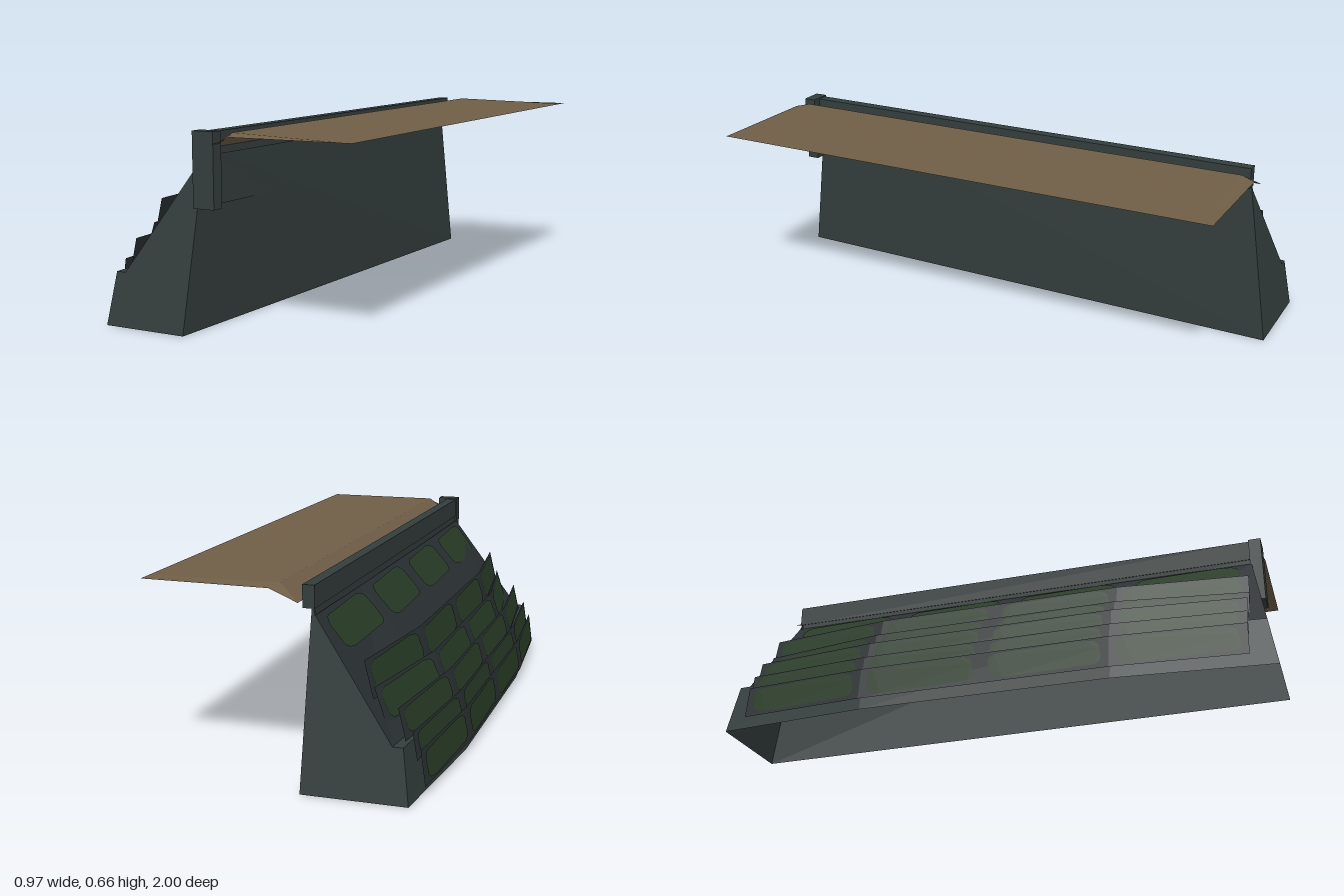
import * as THREE from 'three';

const mat = (name, color) => {
  const m = new THREE.MeshStandardMaterial({ color, side: THREE.DoubleSide });
  m.name = name;
  return m;
};

// flat-faced surface through rows of [x, y, z] points
function loft(rows) {
  const p = [];
  for (let i = 0; i < rows.length - 1; i++) {
    for (let j = 0; j < rows[i].length - 1; j++) {
      const a = rows[i][j], b = rows[i][j + 1], c = rows[i + 1][j + 1], d = rows[i + 1][j];
      p.push(...a, ...b, ...c, ...a, ...c, ...d);
    }
  }
  return fromPoints(p);
}

function fromPoints(p) {
  const g = new THREE.BufferGeometry();
  g.setAttribute('position', new THREE.Float32BufferAttribute(p, 3));
  g.computeVertexNormals();
  return g;
}

// rounded patch in (z, t), wrapped onto a surface by map(z, t) -> [x, y, z]
function patch(z0, z1, t0, t1, map) {
  const w = z1 - z0, rz = w * 0.22, rt = (t1 - t0) * 0.35;
  const s = new THREE.Shape();
  s.moveTo(z0 + rz, t0);
  s.lineTo(z1 - rz * 0.6, t0 + rt * 0.15);
  s.quadraticCurveTo(z1, t0, z1, t0 + rt);
  s.lineTo(z1 - w * 0.02, t1 - rt);
  s.quadraticCurveTo(z1, t1, z1 - rz, t1);
  s.lineTo(z0 + rz * 0.7, t1 - rt * 0.15);
  s.quadraticCurveTo(z0, t1, z0, t1 - rt);
  s.lineTo(z0 + w * 0.02, t0 + rt);
  s.quadraticCurveTo(z0, t0, z0 + rz, t0);
  const g = new THREE.ShapeGeometry(s, 5), pos = g.attributes.position;
  for (let i = 0; i < pos.count; i++) pos.setXYZ(i, ...map(pos.getX(i), pos.getY(i)));
  g.computeVertexNormals();
  return g;
}

export function createModel() {
  const root = new THREE.Group();
  root.name = 'embankmentWall';
  const wall = mat('slate stone', 0x333d3c);
  const bank = mat('dark bank', 0x2a3032);
  const green = mat('moss green', 0x283c26);
  const board = mat('brown board', 0x6f5e47);
  const add = (name, geo, material) => {
    const m = new THREE.Mesh(geo, material);
    m.name = name;
    root.add(m);
    return m;
  };
  const lerp = THREE.MathUtils.lerp;
  const clamp01 = (v) => THREE.MathUtils.clamp(v, 0, 1);
  const BEND = 0.45;
  const endZ = (y) => 1 - 0.16 * y;
  const stations = [-1, -BEND, BEND, 1];

  // outer profile as [x at the ends, x in the middle, y]
  const outer = [[-0.42, -0.47, 0], [-0.395, -0.435, 0.18], [-0.36, -0.41, 0.18], [-0.092, -0.095, 0.56]];
  const outerRows = (pts) => stations.map((s) => pts.map(([xe, xm, y]) =>
    Math.abs(s) === 1 ? [xe, y, s * endZ(y)] : [xm, y, s]));
  add('lowerWall', loft(outerRows(outer.slice(0, 3))), wall);
  add('bankSlope', loft(outerRows(outer.slice(2))), bank);

  // inner side wall, slightly twisted, and the end walls
  const footX = (z) => -0.0875 - 0.0225 * z;
  add('sideWall', loft([-1, 1].map((s) => [
    [footX(s), 0, s], [-0.08, 0.6, s * endZ(0.6)],
  ])), wall);
  for (const s of [-1, 1]) {
    const ring = [...outer.map(([x, , y]) => [x, y]), [-0.08, 0.6]];
    const p = [];
    for (let i = 0; i < ring.length - 1; i++) {
      for (const [x, y] of [[footX(s), 0], ring[i], ring[i + 1]]) p.push(x, y, s * endZ(y));
    }
    add(s > 0 ? 'frontEndWall' : 'backEndWall', fromPoints(p), wall);
  }

  // parapet beam, thin apron below it and end post
  const box = (name, x0, x1, y0, y1, z0, z1) => {
    const m = add(name, new THREE.BoxGeometry(x1 - x0, y1 - y0, z1 - z0), wall);
    m.position.set((x0 + x1) / 2, (y0 + y1) / 2, (z0 + z1) / 2);
  };
  box('parapet', -0.09, -0.05, 0.58, 0.655, -0.91, 0.91);
  box('apron', -0.088, -0.08, 0.41, 0.58, -0.9, 0.91);
  box('endPost', -0.095, -0.015, 0.41, 0.66, 0.905, 0.95);

  // thin board with a ramped inner edge
  add('deckBoard', loft([-0.95, -0.9, 0.9, 0.95].map((z) => {
    const tip = Math.abs(z) > 0.92;
    return [[-0.05, 0.605, z], tip ? [0.045, 0.645, z] : [0.025, 0.655, z], [0.483, 0.647, z]];
  })), board);

  // patches in four groups along the length
  const spans = [[-0.87, -0.49], [-0.41, -0.04], [0.04, 0.41], [0.49, 0.87]];
  const slopePoint = (z, t) => {
    const [a, b] = outer.slice(2);
    const y = lerp(a[2], b[2], t);
    const bow = clamp01((endZ(y) - Math.abs(z)) / (endZ(y) - BEND));
    return [lerp(lerp(a[0], b[0], t), lerp(a[1], b[1], t), bow) - 0.004, y + 0.004, z];
  };
  for (const [z0, z1] of spans) add('slopeMoss', patch(z0, z1, 0.68, 0.97, slopePoint), green);

  // bowed leaning panels: [bottom y, top y, bottom x, top x, bow]
  const panels = [
    [0.035, 0.155, -0.449, -0.433, 0.036],
    [0.12, 0.212, -0.422, -0.407, 0.04],
    [0.18, 0.285, -0.385, -0.36, 0.048],
    [0.22, 0.345, -0.325, -0.283, 0.07],
    [0.305, 0.428, -0.28, -0.25, 0.052],
  ];
  for (const [y0, y1, x0, x1, bow] of panels) {
    const at = (z, t) => [
      lerp(x0, x1, t) - bow * clamp01((0.91 - Math.abs(z)) / (0.91 - BEND)), lerp(y0, y1, t), z];
    add('bankPanel', loft([-0.91, -BEND, BEND, 0.91].map((z) => [at(z, 0), at(z, 1)])), bank);
    for (const [z0, z1] of spans) {
      add('panelMoss', patch(z0 - 0.015, z1 + 0.015, 0.08, 0.95, (z, t) => {
        const [x, y] = at(z, t);
        return [x - 0.003, y, z];
      }), green);
    }
  }
  return root;
}
